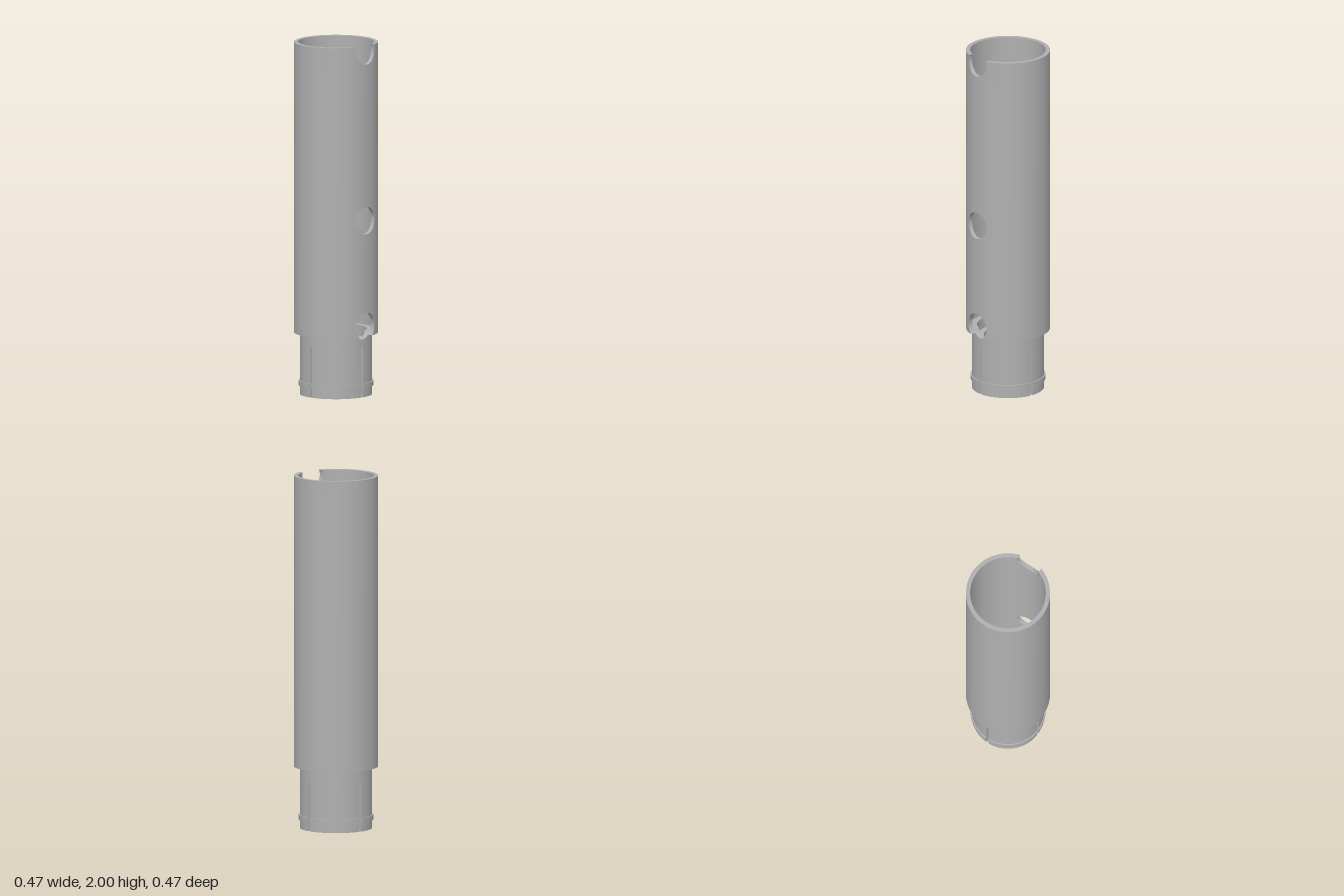
import * as THREE from 'three';
import { mergeGeometries } from 'three/addons/utils/BufferGeometryUtils.js';

const HOLE = 0.077;               // radius of the front holes
const HOLES = [0.407, 1.008, 1.972]; // heights of their centres
const TOP = 2, SHOULDER = 0.35;

// Quad strip between two rails of points; empty columns are left out.
function strip(a, b, keep = () => true) {
  const g = new THREE.BufferGeometry();
  const n = a.length, index = [];
  g.setAttribute('position', new THREE.Float32BufferAttribute([...a, ...b].flat(), 3));
  for (let i = 0; i < n - 1; i++) {
    if (keep(i)) index.push(i, i + 1, n + i + 1, i, n + i + 1, n + i);
  }
  g.setIndex(index);
  g.computeVertexNormals();
  return g;
}

// Curved wall: at(t) gives outer/inner angles and low/high edges.
function wall(ro, ri, n, at, caps = false) {
  const OL = [], OH = [], IL = [], IH = [], full = [];
  const p = (r, a, y) => [r * Math.sin(a), y, r * Math.cos(a)];
  for (let i = 0; i <= n; i++) {
    const { ao, ai, lo, hi } = at(i / n);
    OL.push(p(ro, ao, lo)); OH.push(p(ro, ao, hi));
    IL.push(p(ri, ai, lo)); IH.push(p(ri, ai, hi));
    full.push(hi - lo > 1e-6);
  }
  const keep = (i) => full[i] || full[i + 1];
  const parts = [strip(OL, OH, keep), strip(IH, IL, keep), strip(OH, IH, keep), strip(IL, OL, keep)];
  if (caps) {
    parts.push(strip([IL[0], OL[0]], [IH[0], OH[0]]));
    parts.push(strip([OL[n], IL[n]], [OH[n], IH[n]]));
  }
  return mergeGeometries(parts);
}

// Arc of wall whose ends lie a fixed distance from a radial plane.
function arc(ro, ri, lo, hi, from, to, gap, n, caps) {
  const go = Math.asin(gap / ro), gi = Math.asin(gap / ri);
  const mix = THREE.MathUtils.lerp;
  return wall(ro, ri, n, (t) => ({
    ao: mix(from + go, to - go, t), ai: mix(from + gi, to - gi, t), lo, hi,
  }), caps);
}

// Front panel as wide as the holes, with edges as functions of half chord.
function panel(ro, ri, lo, hi) {
  return wall(ro, ri, 48, (t) => {
    const f = (t - 0.5) * Math.PI, x = HOLE * Math.sin(f), s = HOLE * Math.cos(f);
    return { ao: Math.asin(x / ro), ai: Math.asin(x / ri), lo: lo(s), hi: hi(s) };
  });
}

export function createModel() {
  const group = new THREE.Group();
  const grey = new THREE.MeshStandardMaterial({ color: 0xb0b0b0 });
  grey.name = 'plain grey';
  const add = (name, parts) => {
    const mesh = new THREE.Mesh(mergeGeometries(parts), grey);
    mesh.name = name;
    group.add(mesh);
  };
  const TURN = Math.PI * 2;
  const [low, mid, high] = HOLES;

  // Main tube with two round holes and a notch in the rim
  const R = 0.236, r = 0.212;
  add('mainTube', [
    arc(R, r, SHOULDER, TOP, 0, TURN, HOLE, 120, false),
    panel(R, r, () => SHOULDER, (s) => Math.max(SHOULDER, low - s)),
    panel(R, r, (s) => low + s, (s) => mid - s),
    panel(R, r, (s) => mid + s, (s) => high - s),
    panel(R, r, (s) => Math.min(TOP, high + s), () => TOP),
  ]);

  // Inner ledge and neck, both cut by the lowest hole
  const cutRing = (ro, ri, lo, hi) => [
    arc(ro, ri, lo, hi, 0, TURN, HOLE, 120, false),
    panel(ro, ri, () => lo, (s) => Math.max(lo, Math.min(hi, low - s))),
  ];
  add('innerLedge', cutRing(r, 0.173, SHOULDER, 0.37));
  add('neck', cutRing(0.203, 0.173, 0.31, SHOULDER));
  add('stopRing', [arc(0.203, 0.135, 0.29, 0.31, 0, TURN, 0, 128, false)]);

  // Four spring tabs parted by slots, each with a raised snap rib
  const tabs = [], ribs = [];
  for (let i = 0; i < 4; i++) {
    const from = i * TURN / 4, to = from + TURN / 4;
    tabs.push(arc(0.203, 0.173, 0, 0.29, from, to, 0.007, 32, true));
    ribs.push(arc(0.21, 0.195, 0.05, 0.078, from, to, 0.007, 32, true));
  }
  add('springTabs', tabs);
  add('snapRibs', ribs);
  return group;
}
